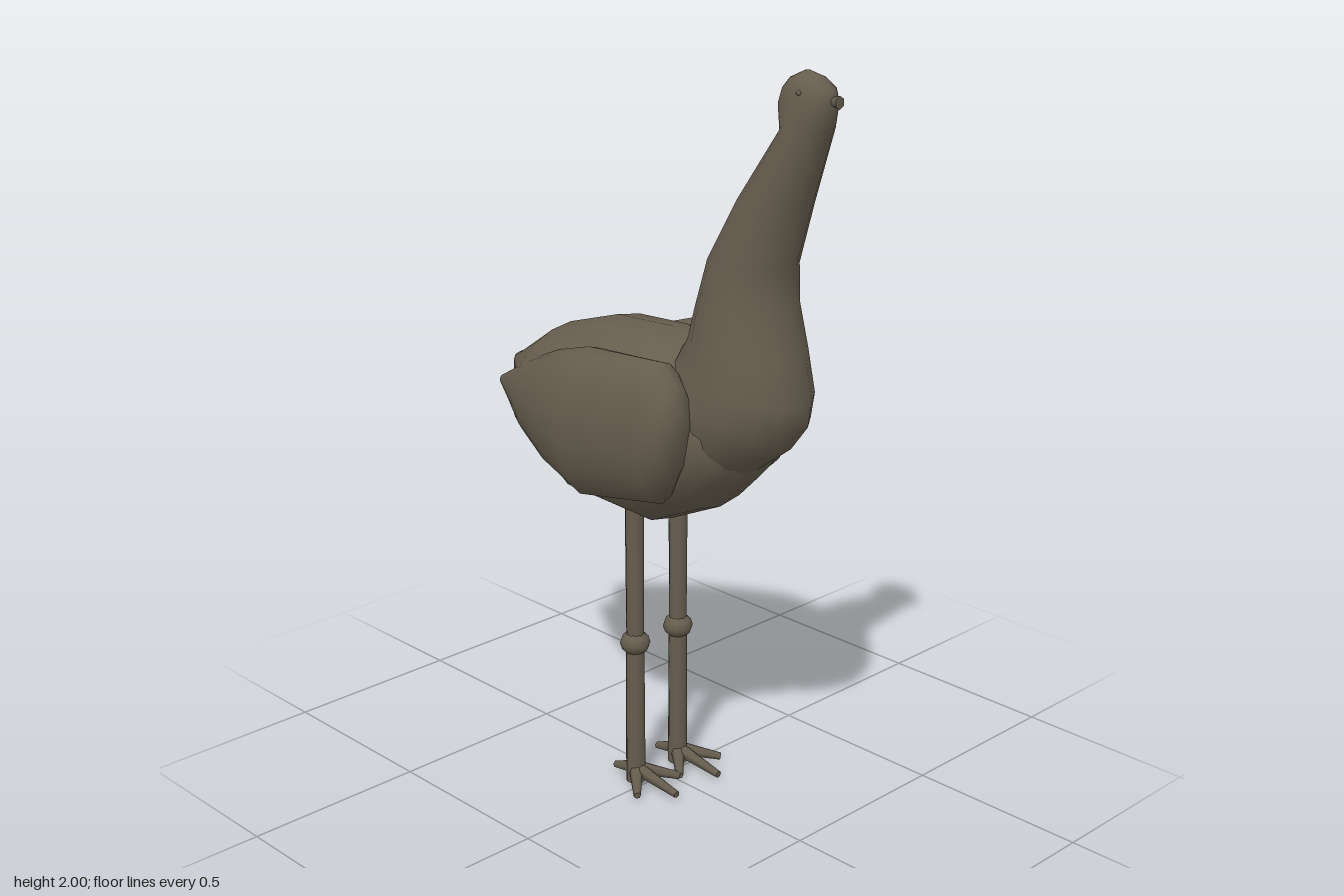
import * as THREE from 'three';

const plumage = new THREE.MeshStandardMaterial({ color: 0x665d4e });
plumage.name = 'brown plumage';

function add(parent, name, geometry) {
  const mesh = new THREE.Mesh(geometry, plumage);
  mesh.name = name;
  parent.add(mesh);
  return mesh;
}

// Closed loft of ellipses. Ring: [zA, yA, zB, yB, halfWidth, centreX],
// where A and B are opposite ends of the ellipse in the side plane.
function loft(rings, sides = 18) {
  const pos = [], index = [], n = rings.length;
  for (const [zA, yA, zB, yB, w, cx = 0] of rings) {
    for (let j = 0; j < sides; j++) {
      const a = (j / sides) * Math.PI * 2, c = Math.cos(a) / 2;
      pos.push(cx + Math.sin(a) * w, (yA + yB) / 2 + c * (yA - yB), (zA + zB) / 2 + c * (zA - zB));
    }
  }
  for (const [zA, yA, zB, yB, , cx = 0] of [rings[0], rings[n - 1]]) {
    pos.push(cx, (yA + yB) / 2, (zA + zB) / 2);
  }
  for (let i = 0; i < n - 1; i++) {
    for (let j = 0; j < sides; j++) {
      const a = i * sides + j, b = i * sides + ((j + 1) % sides);
      index.push(a, b, a + sides, b, b + sides, a + sides);
    }
  }
  for (let j = 0; j < sides; j++) {
    const k = (j + 1) % sides, last = (n - 1) * sides;
    index.push(n * sides, k, j, n * sides + 1, last + j, last + k);
  }
  const g = new THREE.BufferGeometry();
  g.setAttribute('position', new THREE.Float32BufferAttribute(pos, 3));
  g.setIndex(index);
  g.computeVertexNormals();
  return g;
}

// Tapered rod between two points
function rod(from, to, r0, r1, sides = 8) {
  const a = new THREE.Vector3(...from), b = new THREE.Vector3(...to);
  const d = b.clone().sub(a);
  const g = new THREE.CylinderGeometry(r1, r0, d.length(), sides);
  g.applyQuaternion(new THREE.Quaternion().setFromUnitVectors(new THREE.Vector3(0, 1, 0), d.normalize()));
  const m = a.add(b).multiplyScalar(0.5);
  return g.translate(m.x, m.y, m.z);
}

export function createModel() {
  const bird = new THREE.Group();
  bird.name = 'longNeckedBird';

  // Body from breast to tail
  add(bird, 'body', loft([
    [0.34, 1.15, 0.34, 1.00, 0.06],
    [0.28, 1.20, 0.28, 0.93, 0.16],
    [0.20, 1.27, 0.20, 0.852, 0.205],
    [0.03, 1.297, 0.03, 0.773, 0.24],
    [-0.18, 1.285, -0.217, 0.783, 0.24],
    [-0.365, 1.227, -0.434, 0.90, 0.185],
    [-0.46, 1.165, -0.49, 1.02, 0.11],
    [-0.53, 1.118, -0.53, 1.07, 0.065],
    [-0.565, 1.102, -0.565, 1.085, 0.03],
  ]));

  // Chest, neck and head in one sweep
  add(bird, 'neckAndHead', loft([
    [0.30, 0.965, 0.00, 1.00, 0.13],
    [0.40, 1.04, 0.02, 1.12, 0.165],
    [0.455, 1.11, 0.05, 1.20, 0.165],
    [0.468, 1.18, 0.10, 1.27, 0.155],
    [0.445, 1.30, 0.135, 1.32, 0.14],
    [0.418, 1.42, 0.153, 1.39, 0.125],
    [0.418, 1.52, 0.19, 1.52, 0.11],
    [0.47, 1.68, 0.28, 1.68, 0.09],
    [0.535, 1.87, 0.405, 1.86, 0.065],
    [0.553, 1.93, 0.39, 1.92, 0.057],
    [0.545, 1.965, 0.40, 1.955, 0.05],
    [0.515, 1.987, 0.42, 1.98, 0.034],
    [0.475, 2.00, 0.46, 2.00, 0.006],
  ]));

  // Tiny flared beak
  add(bird, 'beak', rod([0, 1.937, 0.53], [0, 1.937, 0.567], 0.007, 0.016, 6));

  for (const side of [1, -1]) {
    const label = side > 0 ? 'left' : 'right';

    // Folded wing
    add(bird, label + 'Wing', loft([
      [0.262, 1.17, 0.262, 1.08, 0.03, 0.212],
      [0.243, 1.235, 0.243, 1.00, 0.063, 0.207],
      [0.19, 1.28, 0.19, 0.91, 0.09, 0.198],
      [-0.08, 1.26, -0.08, 0.86, 0.11, 0.193],
      [-0.23, 1.212, -0.23, 0.89, 0.105, 0.158],
      [-0.34, 1.165, -0.34, 0.94, 0.085, 0.14],
      [-0.45, 1.105, -0.45, 1.01, 0.04, 0.125],
      [-0.513, 1.07, -0.513, 1.045, 0.013, 0.117],
    ].map(r => [...r.slice(0, 5), r[5] * side])));

    // Eye
    const eye = add(bird, label + 'Eye', new THREE.SphereGeometry(0.007, 8, 6));
    eye.position.set(side * 0.048, 1.955, 0.485);

    // Leg with knee and foot
    const leg = new THREE.Group();
    leg.name = label + 'Leg';
    leg.position.set(side * 0.08, 0, -0.035);
    bird.add(leg);
    add(leg, 'upperLeg', rod([0, 0.42, 0], [0, 0.83, 0], 0.024, 0.026, 10));
    add(leg, 'lowerLeg', rod([0, 0.005, 0], [0, 0.42, 0], 0.027, 0.025, 10));
    const knee = add(leg, 'knee', new THREE.SphereGeometry(0.041, 10, 6));
    knee.position.y = 0.418;
    knee.scale.y = 0.85;

    // Three front toes and one hind toe
    for (const [x, z] of [[0, 0.16], [0.08, 0.09], [-0.08, 0.09], [0, -0.08]]) {
      add(leg, 'toe', rod([0, 0.042, 0], [x, 0.02, z], 0.02, 0.01, 6));
    }
  }
  return bird;
}
